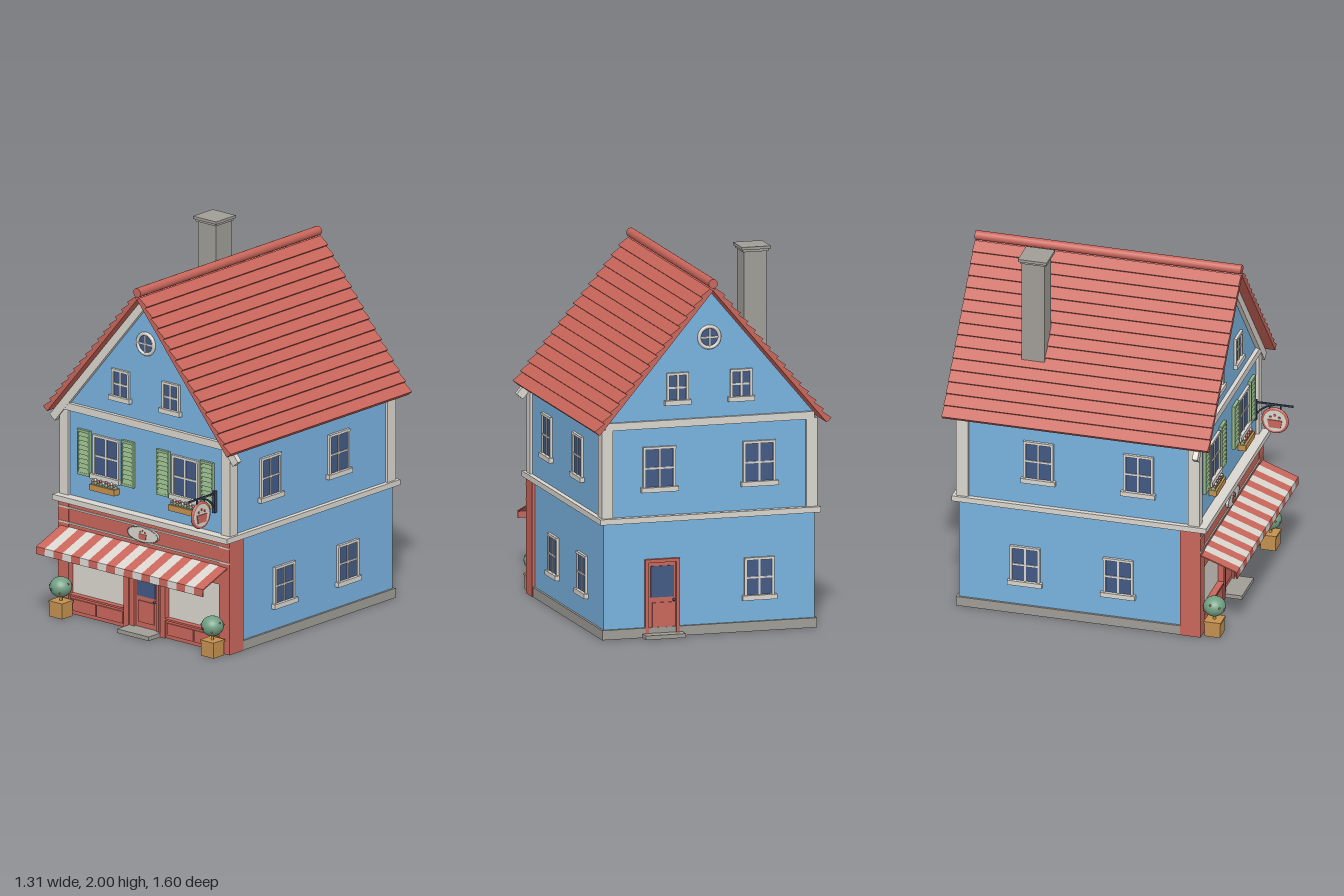
import * as THREE from 'three';

const mat = (name, color, side = THREE.FrontSide) => {
  const m = new THREE.MeshStandardMaterial({ color, side });
  m.name = name;
  return m;
};
const blue = mat('blue plaster', 0x78b2df);
const white = mat('off white trim', 0xdad6cf, THREE.DoubleSide);
const red = mat('brick red', 0xc9665b, THREE.DoubleSide);
const stone = mat('grey stone', 0xa09d97);
const glass = mat('navy glass', 0x425a85);
const green = mat('shutter green', 0x93b588);
const leaf = mat('leaf green', 0x72a084);
const wood = mat('planter wood', 0xc4914f);
const iron = mat('dark iron', 0x38435c);

function add(parent, name, geo, material, x = 0, y = 0, z = 0) {
  const m = new THREE.Mesh(geo, material);
  m.name = name;
  m.position.set(x, y, z);
  parent.add(m);
  return m;
}
// Box given by its lower and upper bounds on each axis
function box(parent, name, material, x0, x1, y0, y1, z0, z1) {
  return add(parent, name, new THREE.BoxGeometry(x1 - x0, y1 - y0, z1 - z0), material,
    (x0 + x1) / 2, (y0 + y1) / 2, (z0 + z1) / 2);
}
function group(parent, name, x = 0, y = 0, z = 0, ry = 0) {
  const g = new THREE.Group();
  g.name = name;
  g.position.set(x, y, z);
  g.rotation.y = ry;
  parent.add(g);
  return g;
}
const poly = pts => new THREE.Shape(pts.map(p => new THREE.Vector2(...p)));
const extrude = (shape, depth) => new THREE.ExtrudeGeometry(shape, { depth, bevelEnabled: false, curveSegments: 24 });

// Sash window facing local +z, standing on its sill
function sash(parent, x, y, z, ry, w, h) {
  const g = group(parent, 'window', x, y, z, ry), a = w / 2, t = 0.014;
  box(g, 'windowBack', white, -a + t, a - t, t, h - t, -0.03, 0.001);
  box(g, 'windowGlass', glass, -a + t, a - t, t, h - t, 0.001, 0.006);
  for (const s of [-1, 1]) box(g, 'windowJamb', white, s * (a - t / 2) - t / 2, s * (a - t / 2) + t / 2, 0, h, -0.005, 0.014);
  box(g, 'windowHead', white, -a, a, h - t, h, -0.005, 0.015);
  box(g, 'windowSill', white, -a - 0.012, a + 0.012, -0.012, t, -0.005, 0.024);
  box(g, 'mullion', white, -0.005, 0.005, t, h - t, 0, 0.011);
  box(g, 'transom', white, -a + t, a - t, h / 2 - 0.005, h / 2 + 0.005, 0, 0.011);
}

function roundWindow(parent, y, z, ry) {
  const g = group(parent, 'roundWindow', 0, y, z, ry);
  add(g, 'roundGlass', new THREE.CylinderGeometry(0.052, 0.052, 0.01, 32).rotateX(Math.PI / 2), glass);
  add(g, 'roundFrame', new THREE.TorusGeometry(0.056, 0.01, 8, 32), white, 0, 0, 0.004);
  box(g, 'mullion', white, -0.004, 0.004, -0.052, 0.052, 0, 0.01);
  box(g, 'transom', white, -0.052, 0.052, -0.004, 0.004, 0, 0.01);
}

// Panelled door facing local +z, with frame, glazed top and step
function door(parent, x, z, ry, w, h, stepDepth) {
  const g = group(parent, 'door', x, 0, z, ry), a = w / 2;
  box(g, 'doorLeaf', red, -a, a, 0.02, h, -0.03, 0.005);
  box(g, 'doorGlass', glass, -a + 0.012, a - 0.012, h * 0.53, h - 0.02, -0.032, 0.009);
  box(g, 'doorPanel', red, -a + 0.02, a - 0.02, 0.05, h * 0.46, 0, 0.011);
  for (const s of [-1, 1]) box(g, 'doorJamb', red, s * (a + 0.01) - 0.01, s * (a + 0.01) + 0.01, 0, h + 0.015, -0.01, 0.018);
  box(g, 'doorHead', red, -a - 0.02, a + 0.02, h, h + 0.018, -0.01, 0.02);
  add(g, 'doorKnob', new THREE.SphereGeometry(0.008, 10, 8), iron, a - 0.012, h * 0.49, 0.013);
  box(g, 'doorStep', stone, -a - 0.035, a + 0.035, 0, 0.022, -0.01, stepDepth);
}

function shutter(parent, x, y, z) {
  const g = group(parent, 'shutter', x, y, z), w = 0.043, h = 0.125;
  box(g, 'shutterBack', green, -w, w, -h, h, -0.005, 0.003);
  for (const s of [-1, 1]) {
    box(g, 'shutterStile', green, s * 0.038 - 0.005, s * 0.038 + 0.005, -h, h, 0, 0.012);
    box(g, 'shutterRail', green, -w, w, s * 0.118 - 0.007, s * 0.118 + 0.007, 0, 0.012);
  }
  for (let i = 0; i < 9; i++) {
    const slat = box(g, 'shutterSlat', green, -0.033, 0.033, -0.012, 0.012, -0.002, 0.002);
    slat.position.set(0, -0.1 + i * 0.025, 0.006);
    slat.rotation.x = -0.35;
  }
}

function flowerBox(parent, x) {
  const g = group(parent, 'flowerBox', x, 0.72, 0.602);
  box(g, 'flowerTrough', wood, -0.087, 0.087, 0, 0.033, -0.02, 0.022);
  for (let i = 0; i < 9; i++) {
    const px = -0.074 + i * 0.0185;
    add(g, 'foliage', new THREE.SphereGeometry(0.013, 8, 6), leaf, px, 0.038, 0);
    add(g, 'flower', new THREE.SphereGeometry(0.008, 8, 6), i % 3 === 1 ? white : red, px, 0.05 + (i % 2) * 0.008, 0.007);
  }
}

function planter(parent, x) {
  const g = group(parent, 'planter', x, 0, 0.66);
  box(g, 'planterBox', wood, -0.044, 0.044, 0, 0.08, -0.042, 0.042);
  box(g, 'planterRim', wood, -0.048, 0.048, 0.075, 0.087, -0.046, 0.046);
  add(g, 'trunk', new THREE.CylinderGeometry(0.008, 0.008, 0.05, 8), wood, 0, 0.1, 0);
  add(g, 'topiary', new THREE.SphereGeometry(0.06, 24, 16).scale(1, 0.9, 1), leaf, 0, 0.162, 0);
  for (let i = 0; i < 8; i++) {
    const a = i * 2.4, p = 0.5 - (i % 4) * 0.3;
    add(g, 'bloom', new THREE.SphereGeometry(0.006, 6, 5), red,
      0.059 * Math.cos(p) * Math.cos(a), 0.162 + 0.053 * Math.sin(p), 0.059 * Math.cos(p) * Math.sin(a));
  }
}

// Small cake emblem in the local xy plane
function cake(parent, z, s, ry = 0) {
  const g = group(parent, 'cakeEmblem', 0, 0, z, ry);
  add(g, 'cakeBase', extrude(poly([[-0.4, -0.5], [0.4, -0.5], [0.5, 0.05], [-0.5, 0.05]]), 0.06), red);
  for (const x of [-0.3, 0, 0.3]) add(g, 'cakeDot', new THREE.CylinderGeometry(0.09, 0.09, 0.06, 12).rotateX(Math.PI / 2), red, x, 0.24 + (x ? 0 : 0.15), 0.03);
  g.scale.setScalar(s);
}

function roof(parent) {
  const slope = Math.atan(1.185), length = 0.969, rows = 15, depth = 1.458;
  const pts = [[0, 0], [length, 0]];
  for (let i = rows; i > 0; i--) {
    pts.push([length * i / rows, 0.036], [length * (i - 1) / rows, 0.02]);
  }
  const geo = extrude(poly(pts), depth).translate(0, 0, -depth / 2);
  for (const ry of [0, Math.PI]) {
    const side = group(parent, 'roofSide', 0, 1.85, -0.071, ry);
    add(side, 'roofTiles', geo, red).rotation.z = -slope;
  }
  add(parent, 'ridge', new THREE.CylinderGeometry(0.025, 0.025, depth, 16).rotateX(Math.PI / 2), red, 0, 1.888, -0.071);
}

function shopFront(parent) {
  const g = group(parent, 'shopFront');
  box(g, 'fascia', red, -0.595, 0.595, 0.375, 0.62, 0.49, 0.6);
  for (const y of [0.497, 0.58]) box(g, 'fasciaStripe', white, -0.595, 0.595, y, y + 0.009, 0.597, 0.606);
  for (const s of [-1, 1]) {
    const span = (name, m, a, b, ...r) => box(g, name, m, Math.min(s * a, s * b), Math.max(s * a, s * b), ...r);
    span('pilaster', red, 0.522, 0.595, 0, 0.62, 0.49, 0.603);
    span('innerPilaster', red, 0.11, 0.145, 0, 0.38, 0.53, 0.6);
    span('stallRiser', red, 0.145, 0.522, 0, 0.1, 0.54, 0.59);
    span('stallPanel', red, 0.155, 0.335, 0.02, 0.085, 0.59, 0.596);
    span('stallPanel', red, 0.343, 0.515, 0.02, 0.085, 0.59, 0.596);
    span('shopSill', red, 0.145, 0.522, 0.1, 0.11, 0.54, 0.602);
    span('shopWindow', white, 0.145, 0.522, 0.11, 0.38, 0.56, 0.567);
    span('doorReveal', red, 0.085, 0.11, 0, 0.38, 0.53, 0.59);
  }
  door(g, 0, 0.575, 0, 0.15, 0.365, 0.115);
  // oval sign on the fascia
  const oval = group(g, 'ovalSign', 0, 0.545, 0.607);
  add(oval, 'ovalPlate', new THREE.CylinderGeometry(1, 1, 0.012, 40).rotateX(Math.PI / 2).scale(0.11, 0.042, 1), white);
  add(oval, 'ovalRim', new THREE.TorusGeometry(1, 0.04, 6, 40).scale(0.105, 0.04, 0.1), stone, 0, 0, 0.004);
  cake(oval, 0.006, 0.055);
  // striped awning
  const n = 19, w = 1.16 / n;
  const section = poly([[0.6, 0.478], [0.798, 0.405], [0.8, 0.365], [0.794, 0.365], [0.793, 0.4], [0.6, 0.471]]);
  const strip = extrude(section, w).rotateY(-Math.PI / 2);
  for (let i = 0; i < n; i++) add(g, 'awningStripe', strip, i % 2 ? white : red, -0.58 + w * (i + 1));
}

function hangingSign(parent) {
  const g = group(parent, 'hangingSign', 0.48, 0, 0.7, Math.PI / 2);
  // local x runs towards the wall after the turn when negative z is outward
  box(parent, 'signWallPlate', iron, 0.472, 0.488, 0.76, 0.88, 0.575, 0.6);
  box(parent, 'signArm', iron, 0.476, 0.484, 0.861, 0.87, 0.59, 0.8);
  const brace = new THREE.QuadraticBezierCurve3(new THREE.Vector3(0.48, 0.79, 0.597),
    new THREE.Vector3(0.48, 0.845, 0.62), new THREE.Vector3(0.48, 0.862, 0.7));
  add(parent, 'signBrace', new THREE.TubeGeometry(brace, 12, 0.005, 6), iron);
  for (const x of [-0.03, 0.03]) box(g, 'signHanger', iron, x - 0.003, x + 0.003, 0.83, 0.865, -0.003, 0.003);
  const disc = group(g, 'signDisc', 0, 0.773, 0);
  add(disc, 'signPlate', new THREE.CylinderGeometry(0.066, 0.066, 0.014, 32).rotateX(Math.PI / 2), white);
  add(disc, 'signRim', new THREE.TorusGeometry(0.066, 0.009, 8, 36), red);
  cake(disc, 0.007, 0.08);
  cake(disc, -0.007, 0.08, Math.PI);
}

export function createModel() {
  const house = new THREE.Group();
  house.name = 'townHouse';

  // Solid upper storey and gable over a hollow ground floor
  const body = poly([[-0.58, 0.63], [0.58, 0.63], [0.58, 1.15], [0, 1.84], [-0.58, 1.15]]);
  add(house, 'upperStorey', extrude(body, 1.305), blue, 0, 0, -0.725);
  for (const s of [-1, 1]) {
    const a = s * 0.57;
    box(house, 'sideWall', blue, a - 0.01, a + 0.01, 0, 0.63, -0.725, 0.5);
    box(house, 'sidePlinth', stone, s * 0.58 - 0.012, s * 0.58 + 0.012, 0, 0.052, -0.738, 0.49);
    for (const [z0, z1] of [[-0.737, -0.67], [0.535, 0.596]])
      box(house, 'cornerPost', white, s * 0.5625 - 0.0305, s * 0.5625 + 0.0305, 0.65, 1.125, z0, z1);
    box(house, 'beltSide', white, s * 0.59 - 0.017, s * 0.59 + 0.017, 0.62, 0.65, -0.757, 0.637);
  }
  box(house, 'backWall', blue, -0.57, 0.57, 0, 0.63, -0.725, -0.705);
  box(house, 'backPlinth', stone, -0.592, 0.592, 0, 0.052, -0.738, -0.705);
  box(house, 'beltFront', white, -0.6, 0.6, 0.62, 0.65, 0.57, 0.637);
  box(house, 'beltBack', white, -0.6, 0.6, 0.62, 0.65, -0.757, -0.7);
  box(house, 'gableBeamFront', white, -0.575, 0.575, 1.12, 1.16, 0.57, 0.602);
  box(house, 'gableBeamBack', white, -0.575, 0.575, 1.12, 1.16, -0.742, -0.715);

  // Front barge boards, roof and chimney
  for (const s of [-1, 1]) {
    const board = poly([[0, 1.85], [s * 0.655, 1.074], [s * 0.62, 1.045], [0, 1.785]]);
    add(house, 'bargeBoard', extrude(board, 0.03), white, 0, 0, 0.573);
  }
  roof(house);
  box(house, 'chimney', stone, -0.41, -0.285, 1.25, 1.98, -0.43, -0.305);
  box(house, 'chimneyCollar', stone, -0.418, -0.277, 1.972, 1.985, -0.438, -0.297);
  box(house, 'chimneyCap', stone, -0.428, -0.268, 1.985, 2, -0.446, -0.288);

  // Windows on all four sides
  for (const s of [-1, 1]) {
    sash(house, s * 0.275, 0.79, 0.58, 0, 0.18, 0.23);
    sash(house, s * 0.275, 0.79, -0.725, Math.PI, 0.18, 0.23);
    sash(house, s * 0.175, 1.25, 0.58, 0, 0.12, 0.16);
    sash(house, s * 0.175, 1.25, -0.725, Math.PI, 0.12, 0.16);
    for (const z of [0.15, -0.36]) sash(house, s * 0.58, 0.18, z, s * Math.PI / 2, 0.165, 0.215);
    for (const z of [0.26, -0.287]) sash(house, s * 0.58, 0.79, z, s * Math.PI / 2, 0.165, 0.23);
    shutter(house, s * 0.122, 0.905, 0.585);
    shutter(house, s * 0.428, 0.905, 0.585);
    flowerBox(house, s * 0.275);
    planter(house, s * 0.527);
  }
  sash(house, -0.275, 0.18, -0.725, Math.PI, 0.165, 0.215);
  roundWindow(house, 1.59, 0.582, 0);
  roundWindow(house, 1.59, -0.727, Math.PI);
  door(house, 0.26, -0.725, Math.PI, 0.15, 0.4, 0.075);

  shopFront(house);
  hangingSign(house);
  return house;
}
